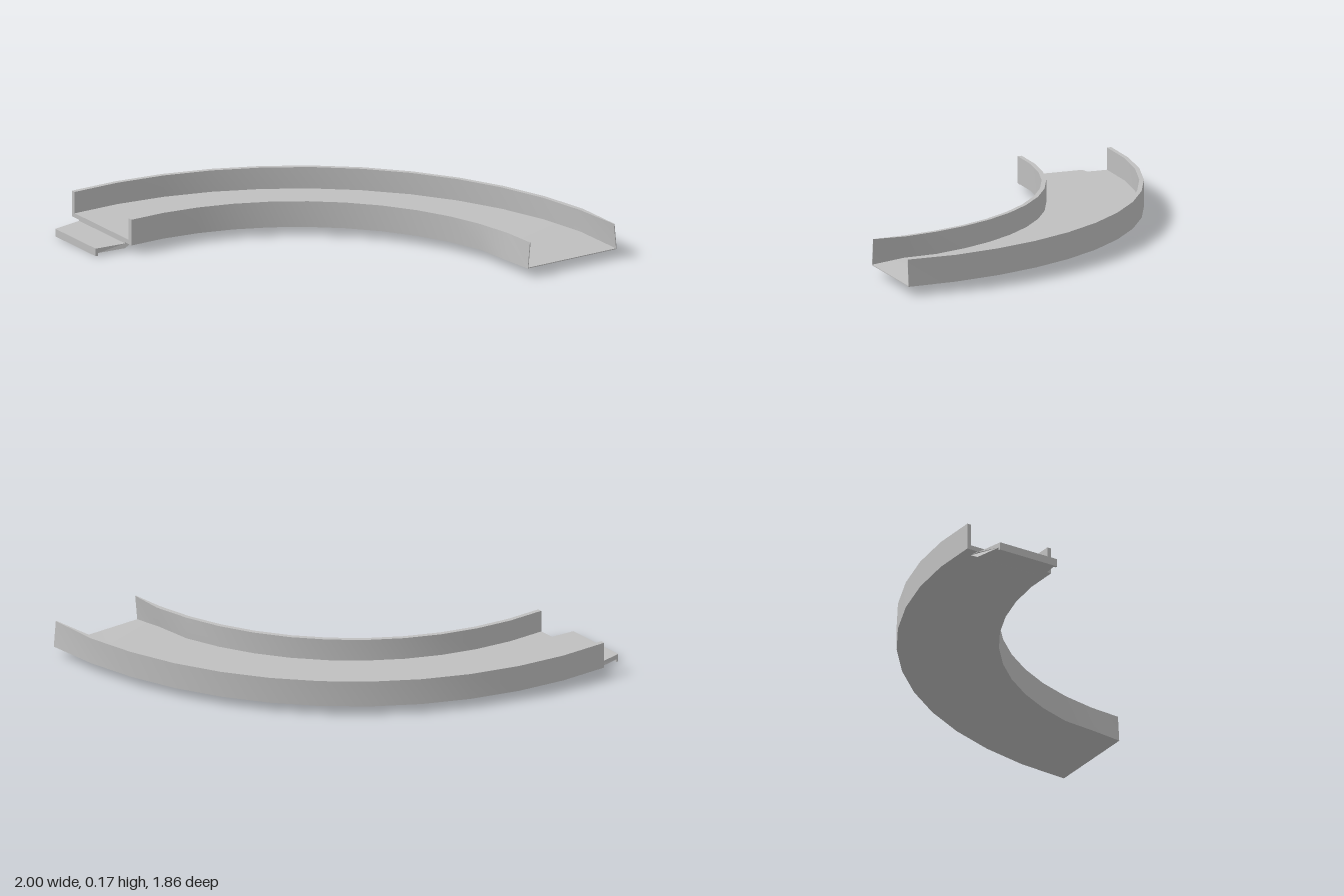
import * as THREE from 'three';
import { toCreasedNormals } from 'three/addons/utils/BufferGeometryUtils.js';

const CX = -0.845, CZ = 0.915;          // centre of the bend
const RI = 1.36, RO = 1.845, WALL = 0.022;
const BOTTOM = 0.043, FLOOR = 0.065, TOP = 0.173;
const STEPS = 12;

// U-shaped cross-section as [radius, y]; the last steps taper to a thin edge
function section(i) {
  const end = i === STEPS;
  const flare = end ? 0.012 : i === STEPS - 1 ? 0.02 : 0;
  const t = end ? 0.004 : WALL;
  const floor = end ? BOTTOM + 0.004 : FLOOR;
  const out = end ? RO - 0.012 : RO;
  return [
    [RI - flare, BOTTOM], [RI, TOP], [RI + t, TOP], [RI + t - flare, floor],
    [RO - t, floor], [out - t, TOP], [out, TOP], [RO, BOTTOM],
  ];
}

function channelGeometry() {
  const pos = [], index = [], n = 8;
  for (let i = 0; i <= STEPS; i++) {
    const a = (i / STEPS) * Math.PI / 2;
    for (const [r, y] of section(i)) {
      // the open end is cut slightly askew
      const skew = i === STEPS ? -0.015 + 0.028 * (r - RI) / (RO - RI) : 0;
      pos.push(CX + r * Math.sin(a), y, CZ - r * Math.cos(a) + skew);
    }
  }
  for (let i = 0; i < STEPS; i++) {
    for (let j = 0; j < n; j++) {
      const a = i * n + j, b = i * n + (j + 1) % n;
      index.push(a, a + n, b, b, a + n, b + n);
    }
  }
  // end caps: two walls and the floor
  const last = STEPS * n;
  for (const [a, b, c, d] of [[0, 1, 2, 3], [4, 5, 6, 7], [0, 3, 4, 7]]) {
    index.push(a, b, c, a, c, d);
    index.push(last + a, last + c, last + b, last + a, last + d, last + c);
  }
  const g = new THREE.BufferGeometry();
  g.setAttribute('position', new THREE.Float32BufferAttribute(pos, 3));
  g.setIndex(index);
  return toCreasedNormals(g, 0.5);
}

// Side profile extruded across the track, widening towards the channel
function tongueGeometry() {
  const shape = new THREE.Shape([
    [-1, 0], [-0.988, 0], [-0.988, 0.014], [-0.845, 0.014], [-0.79, 0.044],
    [-0.845, 0.044], [-0.845, 0.038], [-1, 0.038],
  ].map(([x, y]) => new THREE.Vector2(x, y)));
  const g = new THREE.ExtrudeGeometry(shape, { depth: 1, bevelEnabled: false });
  const p = g.attributes.position;
  for (let i = 0; i < p.count; i++) {
    const k = Math.min(1, (p.getX(i) + 1) / 0.155);
    p.setZ(i, -0.684 + (p.getZ(i) - 0.5) * (0.33 + 0.045 * k));
  }
  g.computeVertexNormals();
  return g;
}

export function createModel() {
  const group = new THREE.Group();
  group.name = 'curvedTrack';
  const grey = new THREE.MeshStandardMaterial({ color: 0xbfbfbf });
  grey.name = 'lightGrey';

  const channel = new THREE.Mesh(channelGeometry(), grey);
  channel.name = 'curvedChannel';
  const tongue = new THREE.Mesh(tongueGeometry(), grey);
  tongue.name = 'connectorTongue';
  group.add(channel, tongue);
  return group;
}
